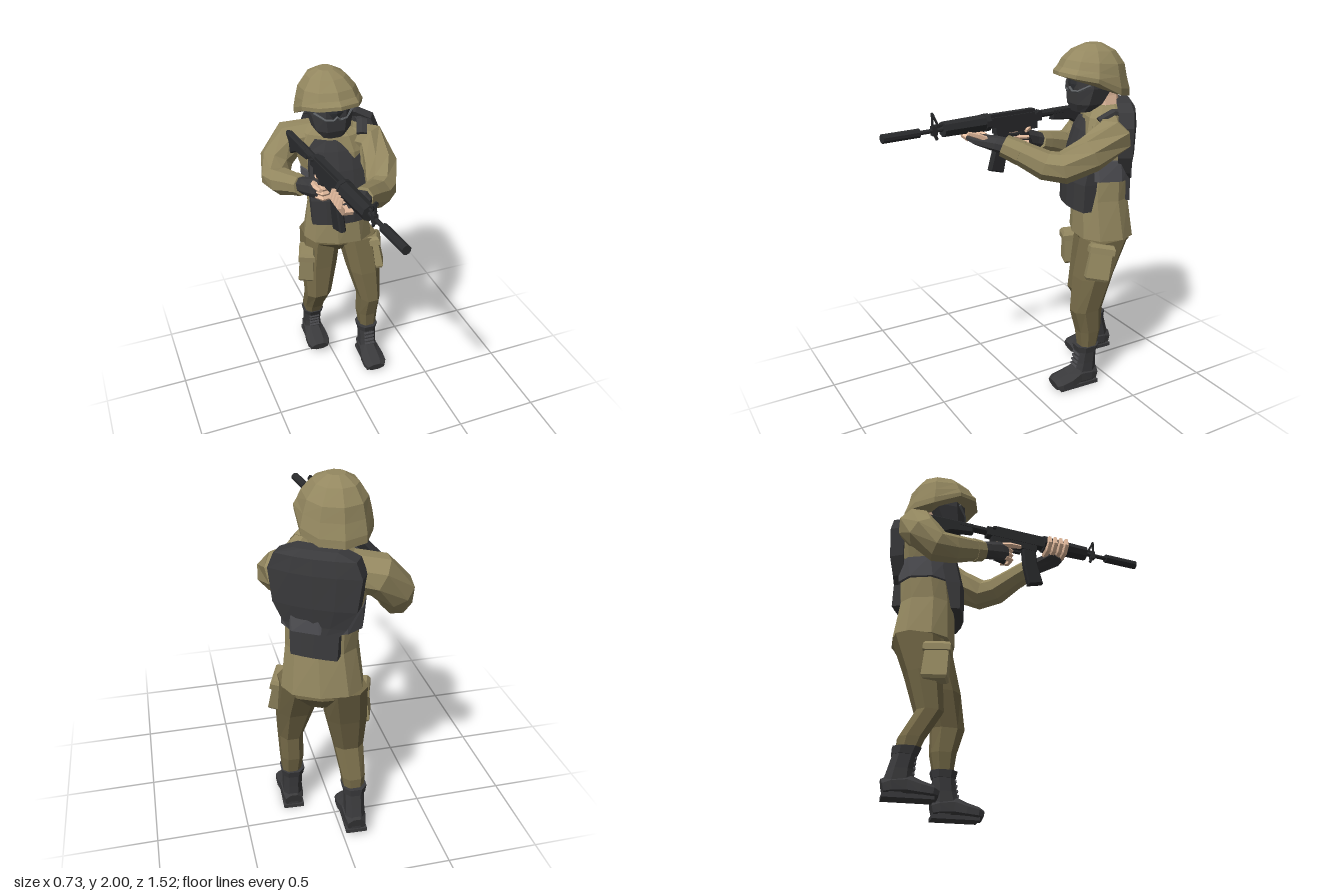
import * as THREE from 'three';

const CLOTH = 0x948860, PANTS = 0x746947, DARK = 0x3a3a3c, STRAP = 0x505054;
const GUN = 0x2a2b2d, SKIN = 0xe6bd9f, LENS = 0x2f3134, FRAME = 0x5c5f62;
const V = (x, y, z) => new THREE.Vector3(x, y, z);

function mesh(parent, name, color, geo) {
  const m = new THREE.Mesh(geo, new THREE.MeshStandardMaterial({ color, flatShading: true }));
  m.name = name;
  parent.add(m);
  return m;
}

// Skin a list of rings (arrays of points, counter-clockwise about the direction of travel), capped
function skin(rings) {
  const n = rings[0].length, p = [];
  const tri = (...v) => v.forEach(q => p.push(q.x, q.y, q.z));
  for (let i = 0; i + 1 < rings.length; i++) for (let j = 0; j < n; j++) {
    const k = (j + 1) % n, A = rings[i], B = rings[i + 1];
    tri(A[j], A[k], B[k]);
    tri(A[j], B[k], B[j]);
  }
  const first = rings[0], last = rings[rings.length - 1];
  for (let j = 1; j + 1 < n; j++) {
    tri(first[0], first[j + 1], first[j]);
    tri(last[0], last[j], last[j + 1]);
  }
  const g = new THREE.BufferGeometry();
  g.setAttribute('position', new THREE.Float32BufferAttribute(p, 3));
  g.computeVertexNormals();
  return g;
}

// Level rings, bottom to top: [x, y, z, rx, rz, yaw, slope, lift of the front half]; power < 1 squares the section
function stack(rows, n = 8, power = 0.8) {
  const sq = t => Math.sign(t) * Math.abs(t) ** power;
  return skin(rows.map(([x, y, z, rx, rz, yaw = 0, slope = 0, lift = 0]) =>
    Array.from({ length: n }, (_, j) => {
      const a = (j + 0.5) / n * Math.PI * 2;
      const q = V(rx * sq(Math.cos(a)), 0, -rz * sq(Math.sin(a)));
      q.y = slope * q.z + (q.z > 0 ? lift : 0);
      return q.applyAxisAngle(V(0, 1, 0), yaw).add(V(x, y, z));
    })));
}

// Tube with varying radius along points [x, y, z, r, rUp = r]
function limb(pts, n = 8, ref = V(0, 1, 0)) {
  const c = pts.map(p => V(p[0], p[1], p[2]));
  return skin(pts.map(([, , , r, rv = r], i) => {
    const w = c[Math.min(i + 1, c.length - 1)].clone().sub(c[Math.max(i - 1, 0)]).normalize();
    const u = ref.clone().cross(w).normalize(), v = w.clone().cross(u);
    return Array.from({ length: n }, (_, j) => {
      const a = (j + 0.5) / n * Math.PI * 2;
      return c[i].clone().addScaledVector(u, r * Math.cos(a)).addScaledVector(v, rv * Math.sin(a));
    });
  }));
}

// Armour panel: rows [y, halfWidth, zOuter, thickness], edges bent back; dir +1 faces front, -1 back
function panel(rows, dir, bend) {
  const g = new THREE.BoxGeometry(1, 1, 1, 4, rows.length - 1, 1), p = g.attributes.position;
  for (let i = 0; i < p.count; i++) {
    const [y, hw, zo, t] = rows[Math.round((p.getY(i) + 0.5) * (rows.length - 1))];
    const x = p.getX(i) * 2 * hw, outer = p.getZ(i) * dir > 0;
    p.setXYZ(i, x, y, dir * (zo - (outer ? 0 : t) - bend * x * x));
  }
  return g;
}

function box(parent, name, color, size, pos, rot = [0, 0, 0]) {
  const m = mesh(parent, name, color, new THREE.BoxGeometry(...size));
  m.position.set(...pos);
  m.rotation.set(...rot);
}

// Cylinder lying along z
function rod(parent, name, z0, z1, r0, r1 = r0, y = 0, n = 10) {
  const g = new THREE.CylinderGeometry(r1, r0, z1 - z0, n).rotateX(Math.PI / 2);
  mesh(parent, name, GUN, g).position.set(0, y, (z0 + z1) / 2);
}

// Side outline of [z, y] points, extruded across x
function sideCut(pts, width, bevel = 0.008) {
  const s = new THREE.Shape(pts.map(([z, y]) => new THREE.Vector2(z, y)));
  return new THREE.ExtrudeGeometry(s, { depth: width - 2 * bevel, bevelThickness: bevel, bevelSize: bevel, bevelSegments: 1 })
    .translate(0, 0, bevel - width / 2).rotateY(-Math.PI / 2);
}

function group(parent, name, pos, rot = [0, 0, 0]) {
  const g = new THREE.Group();
  g.name = name;
  g.position.set(...pos);
  g.rotation.set(...rot);
  parent.add(g);
  return g;
}

// Boot with its shaft leaning forward by lean per unit of height
function boot(parent, name, pos, yaw, lean) {
  const b = group(parent, name, pos, [0, yaw, 0]);
  mesh(b, 'bootFoot', DARK, limb([[0, 0.05, -0.07, 0.052, 0.05], [0, 0.06, -0.03, 0.062, 0.06], [0, 0.066, 0.045, 0.066, 0.067],
    [0, 0.05, 0.11, 0.079, 0.051], [0, 0.04, 0.175, 0.079, 0.041], [0, 0.033, 0.205, 0.06, 0.03]]));
  mesh(b, 'bootShaft', DARK, stack([[0, 0.02, -0.005, 0.054, 0.066], [0, 0.09, 0.005, 0.056, 0.078], [0, 0.15, -0.004 + lean * 0.06, 0.054, 0.068],
    [0, 0.25, -0.012 + lean * 0.17, 0.057, 0.063]]));
  box(b, 'sole', DARK, [0.115, 0.022, 0.255], [0, 0.012, 0.055]);
  mesh(b, 'bootCuff', DARK, stack([[0, 0.222, -0.012 + lean * 0.15, 0.062, 0.067], [0, 0.262, -0.012 + lean * 0.18, 0.07, 0.077]]));
  for (let i = 0; i < 4; i++)
    box(b, 'lace', STRAP, [0.065, 0.012, 0.01], [0, 0.13 + i * 0.026, 0.066 - i * 0.005 + lean * (0.04 + i * 0.026)], [-0.2, 0, 0]);
}

function pouch(parent, name, pos, rot) {
  const g = group(parent, name, pos, rot);
  mesh(g, 'pouchBody', CLOTH, stack([[0, -0.11, 0, 0.04, 0.065], [0, -0.095, 0, 0.052, 0.075], [0, 0.075, 0, 0.042, 0.07]], 4, 0.3));
  mesh(g, 'pouchFlap', CLOTH, stack([[0, 0.05, 0, 0.056, 0.082], [0, 0.085, 0, 0.056, 0.082], [0, 0.105, 0, 0.04, 0.07]], 4, 0.3));
}

function rifle(parent) {
  const g = group(parent, 'rifle', [-0.128, 1.6, 0], [0, 0.098, 0]);
  rod(g, 'suppressor', 0.55, 0.76, 0.025);
  rod(g, 'barrel', 0.4, 0.56, 0.012);
  rod(g, 'handguard', 0.15, 0.41, 0.047, 0.042, 0, 8);
  rod(g, 'handguardRing', 0.125, 0.155, 0.05);
  rod(g, 'gasTube', 0.41, 0.47, 0.008, 0.008, 0.025, 6);
  box(g, 'frontSightBase', GUN, [0.025, 0.05, 0.03], [0, 0, 0.46]);
  box(g, 'frontSightPost', GUN, [0.01, 0.09, 0.01], [0, 0.05, 0.468]);
  box(g, 'frontSightBrace', GUN, [0.01, 0.085, 0.01], [0, 0.045, 0.445], [0.45, 0, 0]);
  mesh(g, 'frontSightRing', GUN, new THREE.TorusGeometry(0.014, 0.004, 4, 10)).position.set(0, 0.078, 0.465);
  box(g, 'slingLug', GUN, [0.01, 0.035, 0.015], [0, -0.035, 0.45], [0.4, 0, 0]);
  box(g, 'upperReceiver', GUN, [0.05, 0.055, 0.36], [0, -0.005, -0.05]);
  box(g, 'topRail', GUN, [0.036, 0.022, 0.3], [0, 0.029, -0.03]);
  box(g, 'rearSight', GUN, [0.035, 0.02, 0.03], [0, 0.03, -0.17]);
  box(g, 'chargingLever', GUN, [0.08, 0.012, 0.02], [0, 0.015, -0.19]);
  box(g, 'lowerReceiver', GUN, [0.045, 0.05, 0.28], [0, -0.048, -0.06]);
  mesh(g, 'magazine', GUN, sideCut([[0.0, -0.07], [0.07, -0.07], [0.08, -0.16], [0.112, -0.27], [0.035, -0.292], [0.01, -0.18]], 0.04));
  mesh(g, 'pistolGrip', GUN, sideCut([[-0.13, -0.07], [-0.09, -0.07], [-0.12, -0.18], [-0.17, -0.17]], 0.04));
  mesh(g, 'triggerGuard', GUN, sideCut([[-0.1, -0.1], [-0.02, -0.1], [-0.01, -0.085], [-0.1, -0.09]], 0.02, 0.003));
  rod(g, 'bufferTube', -0.4, -0.2, 0.022);
  mesh(g, 'stock', GUN, sideCut([[-0.57, -0.12], [-0.57, 0.012], [-0.32, 0.012], [-0.32, -0.035], [-0.45, -0.05]], 0.04));
}

export function createModel() {
  const root = new THREE.Group();
  root.name = 'soldier';

  // Legs, pouches and boots
  mesh(root, 'pelvis', PANTS, stack([[0.085, 0.81, -0.53, 0.09, 0.08, -0.25], [0.08, 0.89, -0.525, 0.19, 0.15, -0.25], [0.08, 0.99, -0.52, 0.18, 0.145, -0.25]], 10));
  mesh(root, 'leftLeg', PANTS, stack([[0.22, 0.23, -0.35, 0.052, 0.052], [0.217, 0.36, -0.355, 0.066, 0.075], [0.22, 0.5, -0.335, 0.068, 0.098],
    [0.203, 0.7, -0.39, 0.102, 0.118], [0.185, 0.92, -0.475, 0.118, 0.145]]));
  mesh(root, 'rightLeg', PANTS, stack([[-0.075, 0.24, -0.605, 0.054, 0.052], [-0.075, 0.34, -0.58, 0.066, 0.072], [-0.068, 0.49, -0.495, 0.084, 0.076],
    [-0.043, 0.7, -0.53, 0.112, 0.1], [-0.012, 0.92, -0.57, 0.125, 0.135]]));
  pouch(root, 'leftThighPouch', [0.272, 0.81, -0.375], [-0.22, -0.4, 0.08]);
  pouch(root, 'rightThighPouch', [-0.14, 0.75, -0.48], [0.05, -0.35, -0.05]);
  boot(root, 'leftBoot', [0.213, 0, -0.335], -0.05, 0);
  boot(root, 'rightBoot', [-0.075, 0.026, -0.638], -0.05, 0.28);

  // Torso, turned with the shooting stance
  mesh(root, 'shirt', CLOTH, stack([[0.08, 0.92, -0.52, 0.215, 0.175, -0.3], [0.08, 1.15, -0.505, 0.185, 0.155, -0.35], [0.075, 1.35, -0.52, 0.19, 0.15, -0.42],
    [0.055, 1.52, -0.53, 0.225, 0.135, -0.46], [0.055, 1.61, -0.535, 0.18, 0.12, -0.46], [0.05, 1.67, -0.54, 0.09, 0.085, -0.4]], 10));
  mesh(root, 'sideStrap', STRAP, stack([[0.077, 1.27, -0.515, 0.207, 0.165, -0.36], [0.075, 1.39, -0.518, 0.21, 0.165, -0.42]], 10));
  const front = group(root, 'frontVest', [0.035, 0, -0.33], [0, -0.16, 0]);
  mesh(front, 'frontPlate', DARK, panel([[1.09, 0.165, 0.025, 0.05], [1.25, 0.17, 0.025, 0.08], [1.42, 0.165, -0.015, 0.08],
    [1.53, 0.16, -0.05, 0.09], [1.59, 0.12, -0.08, 0.09]], 1, 1.2));
  const back = group(root, 'backVest', [0.135, 0, -0.615], [0, -0.55, 0]);
  mesh(back, 'backPlate', DARK, panel([[1.14, 0.12, 0.05, 0.07], [1.27, 0.125, 0.045, 0.07], [1.31, 0.16, 0.045, 0.07], [1.41, 0.21, 0.06, 0.08],
    [1.58, 0.232, 0.065, 0.085], [1.66, 0.2, 0.055, 0.085], [1.695, 0.11, 0.03, 0.08]], -1, 0.6));
  mesh(root, 'leftShoulderStrap', DARK, limb([[0.24, 1.64, -0.56, 0.035, 0.02], [0.225, 1.655, -0.47, 0.035, 0.018], [0.195, 1.61, -0.395, 0.035, 0.018]], 6));

  // Head
  mesh(root, 'neck', SKIN, stack([[0.05, 1.62, -0.54, 0.085, 0.08], [0.03, 1.72, -0.53, 0.085, 0.09], [0.02, 1.8, -0.51, 0.09, 0.1]]));
  mesh(root, 'faceMask', DARK, stack([[0.02, 1.635, -0.4, 0.065, 0.05], [0.02, 1.68, -0.425, 0.108, 0.095], [0.02, 1.77, -0.455, 0.13, 0.13], [0.02, 1.88, -0.46, 0.125, 0.13]]));
  const face = group(root, 'goggles', [0.02, 0, -0.318]);
  mesh(face, 'lens', LENS, panel([[1.755, 0.09, -0.012, 0.06], [1.79, 0.105, -0.005, 0.06], [1.85, 0.1, -0.01, 0.06]], 1, 5));
  const rim = [[-0.115, 1.79, -0.06], [-0.06, 1.755, -0.018], [-0.02, 1.752, -0.005], [0, 1.772, 0], [0.02, 1.752, -0.005], [0.06, 1.755, -0.018], [0.115, 1.79, -0.06]];
  mesh(face, 'goggleRim', FRAME, limb(rim.map(p => [...p, 0.008]), 5));
  mesh(root, 'helmet', CLOTH, stack([[0.018, 1.75, -0.465, 0.183, 0.222, 0, 0.21, 0.045], [0.018, 1.785, -0.465, 0.185, 0.22, 0, 0.19, 0.035], [0.016, 1.845, -0.467, 0.172, 0.196, 0, 0.15, 0.01],
    [0.015, 1.905, -0.472, 0.154, 0.178, 0, 0.1], [0.012, 1.965, -0.475, 0.108, 0.125, 0, 0.04], [0.01, 2, -0.475, 0.045, 0.05]], 10, 0.9));

  // Sleeves with cuffs
  mesh(root, 'leftSleeve', CLOTH, limb([[0.13, 1.55, -0.5, 0.1], [0.262, 1.525, -0.44, 0.112], [0.268, 1.45, -0.29, 0.1], [0.218, 1.385, -0.155, 0.09],
    [0.16, 1.395, -0.08, 0.082], [0.045, 1.47, 0.045, 0.064]]));
  mesh(root, 'leftCuff', CLOTH, limb([[0.07, 1.455, 0.02, 0.07], [0.004, 1.492, 0.09, 0.062]]));
  mesh(root, 'rightSleeve', CLOTH, limb([[-0.03, 1.56, -0.58, 0.1], [-0.165, 1.54, -0.63, 0.108], [-0.26, 1.44, -0.6, 0.098], [-0.29, 1.36, -0.53, 0.088],
    [-0.275, 1.37, -0.45, 0.08], [-0.22, 1.42, -0.29, 0.058]]));
  mesh(root, 'rightCuff', CLOTH, limb([[-0.23, 1.41, -0.32, 0.066], [-0.213, 1.425, -0.265, 0.058]]));

  // Gloved hands with bare fingers
  const Z = V(0, 0, 1);
  mesh(root, 'leftGlove', DARK, limb([[0.03, 1.48, 0.06, 0.05], [-0.02, 1.5, 0.12, 0.062, 0.042], [-0.09, 1.52, 0.2, 0.068, 0.028], [-0.13, 1.53, 0.22, 0.05, 0.02]]));
  for (let i = 0; i < 4; i++) {
    const z = 0.14 + i * 0.034;
    mesh(root, 'leftFinger', SKIN, limb([[-0.11, 1.525, z, 0.018], [-0.165, 1.535, z + 0.005, 0.019], [-0.187, 1.57, z + 0.01, 0.017], [-0.175, 1.615, z + 0.012, 0.013]], 5, Z));
  }
  mesh(root, 'leftThumb', SKIN, limb([[-0.035, 1.52, 0.16, 0.018], [-0.04, 1.55, 0.22, 0.016], [-0.045, 1.57, 0.28, 0.011]], 5));
  mesh(root, 'rightGlove', DARK, limb([[-0.22, 1.42, -0.3, 0.045], [-0.205, 1.44, -0.23, 0.04, 0.052], [-0.18, 1.465, -0.15, 0.036, 0.058], [-0.17, 1.47, -0.11, 0.026, 0.045]]));
  mesh(root, 'rightIndexFinger', SKIN, limb([[-0.185, 1.5, -0.14, 0.018], [-0.192, 1.505, -0.09, 0.017], [-0.185, 1.51, -0.03, 0.012]], 5));
  for (let i = 0; i < 3; i++) {
    const y = 1.49 - i * 0.03;
    mesh(root, 'rightFinger', SKIN, limb([[-0.18, y, -0.12, 0.015], [-0.155, y, -0.08, 0.015], [-0.115, y, -0.085, 0.014], [-0.1, y, -0.13, 0.011]], 5));
  }
  mesh(root, 'rightThumb', SKIN, limb([[-0.165, 1.52, -0.17, 0.016], [-0.13, 1.535, -0.15, 0.014], [-0.1, 1.525, -0.11, 0.01]], 5));

  rifle(root);
  return root;
}
